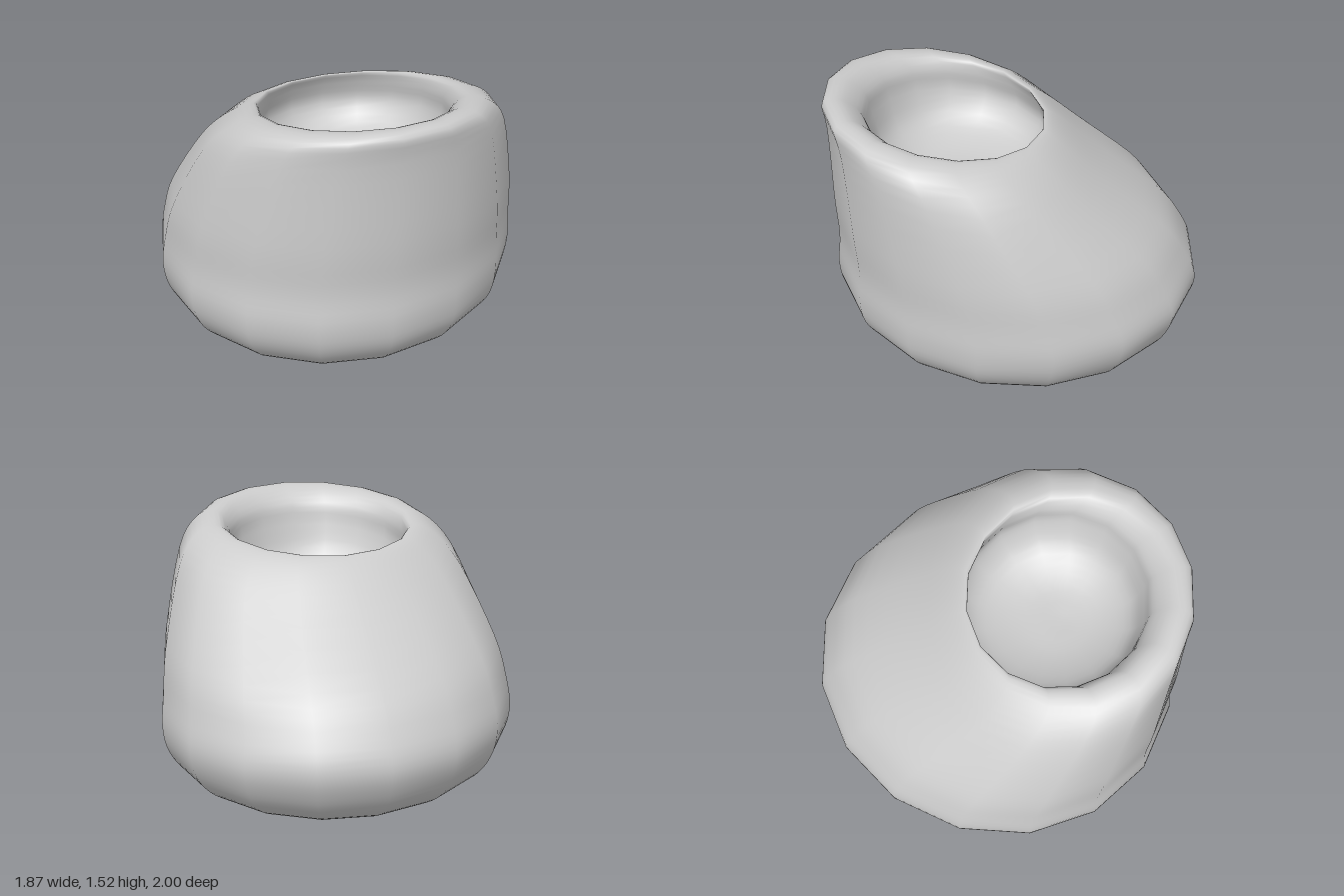
import * as THREE from 'three';

const SIDES = 16;
const STEPS = 4;

// Cross-sections from underside to bowl floor:
// [centre shift along x and z, radius x, radius z, height, tilt, squash along the lean]
const SECTIONS = [
  [-0.02, 0, 0, 0, 0, 0],
  [-0.02, 0.25, 0.27, 0.008, 0, 0],
  [-0.01, 0.48, 0.5, 0.05, 0, 0],
  [0, 0.68, 0.73, 0.125, 0, 0],
  [0, 0.82, 0.875, 0.215, 0, 0],
  [0, 0.905, 0.965, 0.335, 0, 0],
  [-0.005, 0.935, 1.0, 0.48, 0, 0],
  [0.01, 0.925, 0.975, 0.65, 0.02, 0.02],
  [0.065, 0.89, 0.93, 0.88, 0.06, 0.05],
  [0.195, 0.775, 0.79, 1.25, 0.14, 0.12],
  [0.265, 0.65, 0.66, 1.405, 0.14, 0.08],
  [0.26, 0.53, 0.53, 1.435, 0.15, 0.02],
  [0.215, 0.485, 0.485, 1.36, 0.15, 0],
  [0.195, 0.48, 0.48, 1.24, 0.15, 0],
  [0.21, 0.4, 0.4, 1.1, 0.12, 0],
  [0.23, 0.22, 0.22, 1.02, 0.08, 0],
  [0.24, 0, 0, 1, 0, 0],
];

// Loft of closed rings whose centres lean towards +x +z
function loft(sections) {
  const shape = new THREE.CatmullRomCurve3(sections.map(([c, rx, rz]) => new THREE.Vector3(c, rx, rz)), false, 'catmullrom', 0.5);
  const rise = new THREE.CatmullRomCurve3(sections.map(([, , , y, tilt, squash]) => new THREE.Vector3(y, tilt, squash)), false, 'catmullrom', 0.5);
  const rows = (sections.length - 1) * STEPS;
  const positions = [];
  const index = [];
  for (let i = 0; i <= rows; i++) {
    const { x: c, y: rx, z: rz } = shape.getPoint(i / rows);
    const { x: y, y: tilt, z: squash } = rise.getPoint(i / rows);
    for (let j = 0; j < SIDES; j++) {
      const a = (j / SIDES) * Math.PI * 2;
      const dx = rx * Math.cos(a);
      const dz = rz * Math.sin(a);
      const pull = (squash * (dx + dz)) / 2;
      positions.push(c + dx - pull, Math.max(0, y + tilt * (dx + dz) * Math.SQRT1_2), c + dz - pull);
    }
  }
  // The two end rings collapse to one shared vertex each
  const at = (i, j) => i * SIDES + (i === 0 || i === rows ? 0 : j % SIDES);
  for (let i = 0; i < rows; i++) {
    for (let j = 0; j < SIDES; j++) {
      const a = at(i, j), b = at(i + 1, j), c = at(i, j + 1), d = at(i + 1, j + 1);
      if (i > 0) index.push(a, b, c);
      if (i < rows - 1) index.push(b, d, c);
    }
  }
  const geometry = new THREE.BufferGeometry();
  geometry.setAttribute('position', new THREE.Float32BufferAttribute(positions, 3));
  geometry.setIndex(index);
  geometry.computeVertexNormals();
  return geometry;
}

export function createModel() {
  const group = new THREE.Group();
  group.name = 'leaningPot';
  // Rounded body, rim and hollow bowl in one smooth skin
  const body = new THREE.Mesh(loft(SECTIONS), new THREE.MeshStandardMaterial({ color: 0xcccccc }));
  body.name = 'potBody';
  group.add(body);
  return group;
}
